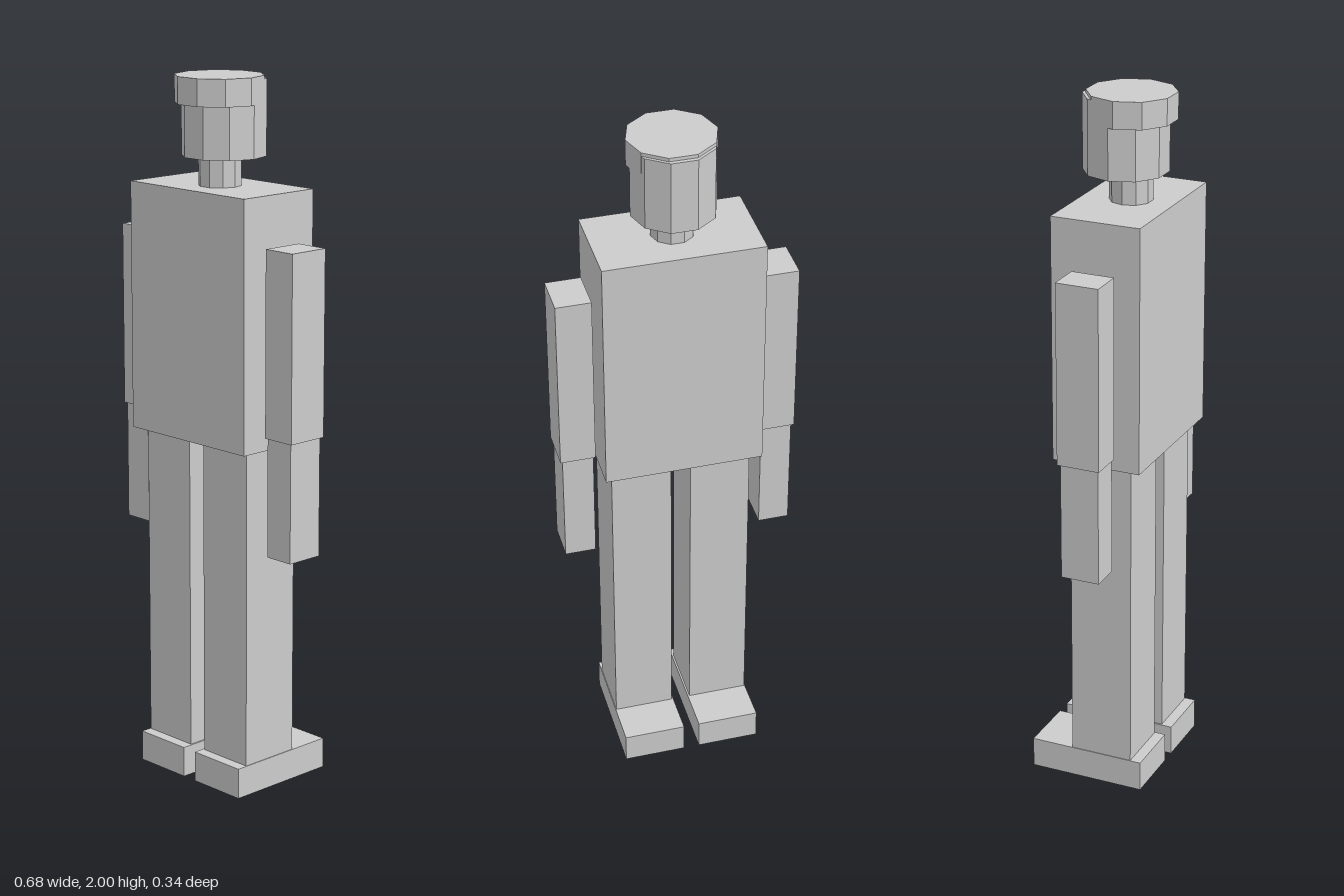
import * as THREE from 'three';

const grey = new THREE.MeshStandardMaterial({ color: 0xcccccc, flatShading: true });
grey.name = 'plain grey';

// Box given by its lower and upper limits on each axis
function block(name, [x0, x1], [y0, y1], [z0, z1]) {
  const mesh = new THREE.Mesh(new THREE.BoxGeometry(x1 - x0, y1 - y0, z1 - z0), grey);
  mesh.position.set((x0 + x1) / 2, (y0 + y1) / 2, (z0 + z1) / 2);
  mesh.name = name;
  return mesh;
}

// Upright ten-sided prism with a corner on each side
function prism(name, radius, [y0, y1], z) {
  const geometry = new THREE.CylinderGeometry(radius, radius, y1 - y0, 10).rotateY(Math.PI / 2);
  const mesh = new THREE.Mesh(geometry, grey);
  mesh.position.set(0, (y0 + y1) / 2, z);
  mesh.name = name;
  return mesh;
}

export function createModel() {
  const model = new THREE.Group();
  model.name = 'blockFigure';

  // Body, neck, head and cap
  model.add(
    block('torso', [-0.225, 0.225], [1, 1.7], [-0.088, 0.171]),
    prism('neck', 0.06, [1.7, 1.78], 0.045),
    prism('head', 0.118, [1.78, 1.99], 0.03),
    prism('cap', 0.124, [1.925, 2], 0.047)
  );

  // Limbs, mirrored
  for (const [side, s] of [['left', 1], ['right', -1]]) {
    const span = (a, b) => (s > 0 ? [a, b] : [-b, -a]);
    model.add(
      block(side + 'UpperArm', span(0.238, 0.338), [1.04, 1.56], [-0.021, 0.103]),
      block(side + 'Forearm', span(0.243, 0.331), [0.703, 1.04], [-0.014, 0.098]),
      block(side + 'Leg', span(0.028, 0.2), [0.088, 1], [-0.047, 0.136]),
      block(side + 'Foot', span(0.023, 0.202), [0, 0.088], [-0.172, 0.168])
    );
  }
  return model;
}
